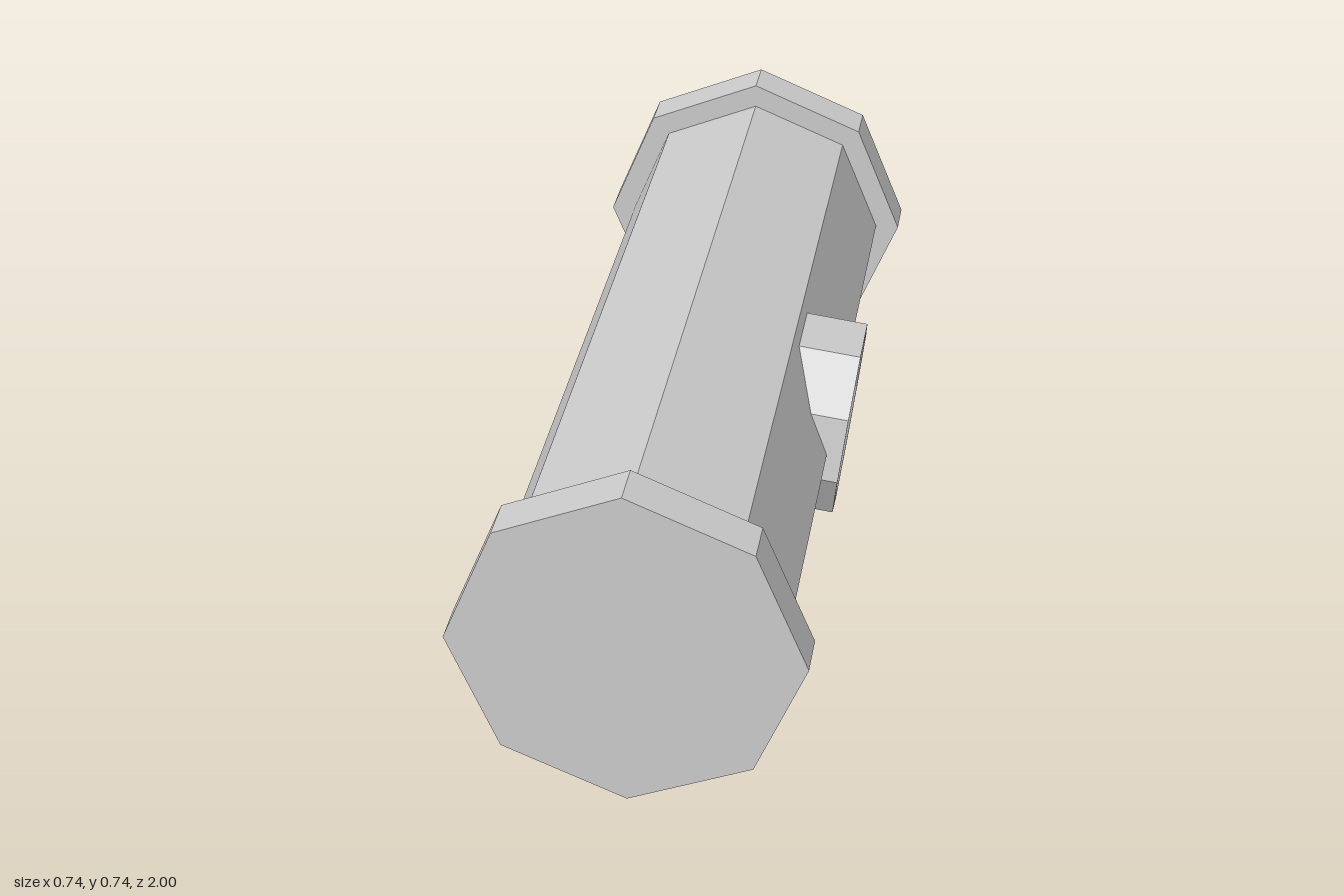
import * as THREE from 'three';

const material = new THREE.MeshStandardMaterial({ color: 0xcccccc, flatShading: true });

export function createModel() {
  const model = new THREE.Group();
  model.name = 'barrel';
  const centreY = 0.37;

  // Octagonal prism lying along z
  const addPrism = (name, radius, length, z) => {
    const mesh = new THREE.Mesh(new THREE.CylinderGeometry(radius, radius, length, 8), material);
    mesh.name = name;
    mesh.rotation.x = Math.PI / 2;
    mesh.position.set(0, centreY, z);
    model.add(mesh);
  };

  // Main body and the wider caps at both ends
  addPrism('body', 0.314, 1.84, 0);
  addPrism('frontCap', 0.37, 0.1, 0.95);
  addPrism('backCap', 0.37, 0.1, -0.95);

  // Nine-sided porthole on the left side: outer wall, thin rim, tapered recess
  const profile = [[0.221, -0.14], [0.221, 0], [0.203, 0], [0.158, -0.03]]
    .map(([r, y]) => new THREE.Vector2(r, y));
  const porthole = new THREE.Group();
  porthole.name = 'porthole';
  const ring = new THREE.Mesh(new THREE.LatheGeometry(profile, 9, Math.PI / 2), material);
  ring.name = 'portholeRing';
  porthole.add(ring);

  // Flat pane at the bottom of the recess
  const pane = new THREE.Mesh(new THREE.CircleGeometry(0.158, 9), material);
  pane.name = 'portholePane';
  pane.rotation.x = -Math.PI / 2;
  pane.position.y = -0.03;
  porthole.add(pane);

  // Faces outward, tilted slightly down
  porthole.rotation.z = -Math.PI / 2 - 0.122;
  porthole.position.set(0.345, 0.344, 0);
  model.add(porthole);

  return model;
}
